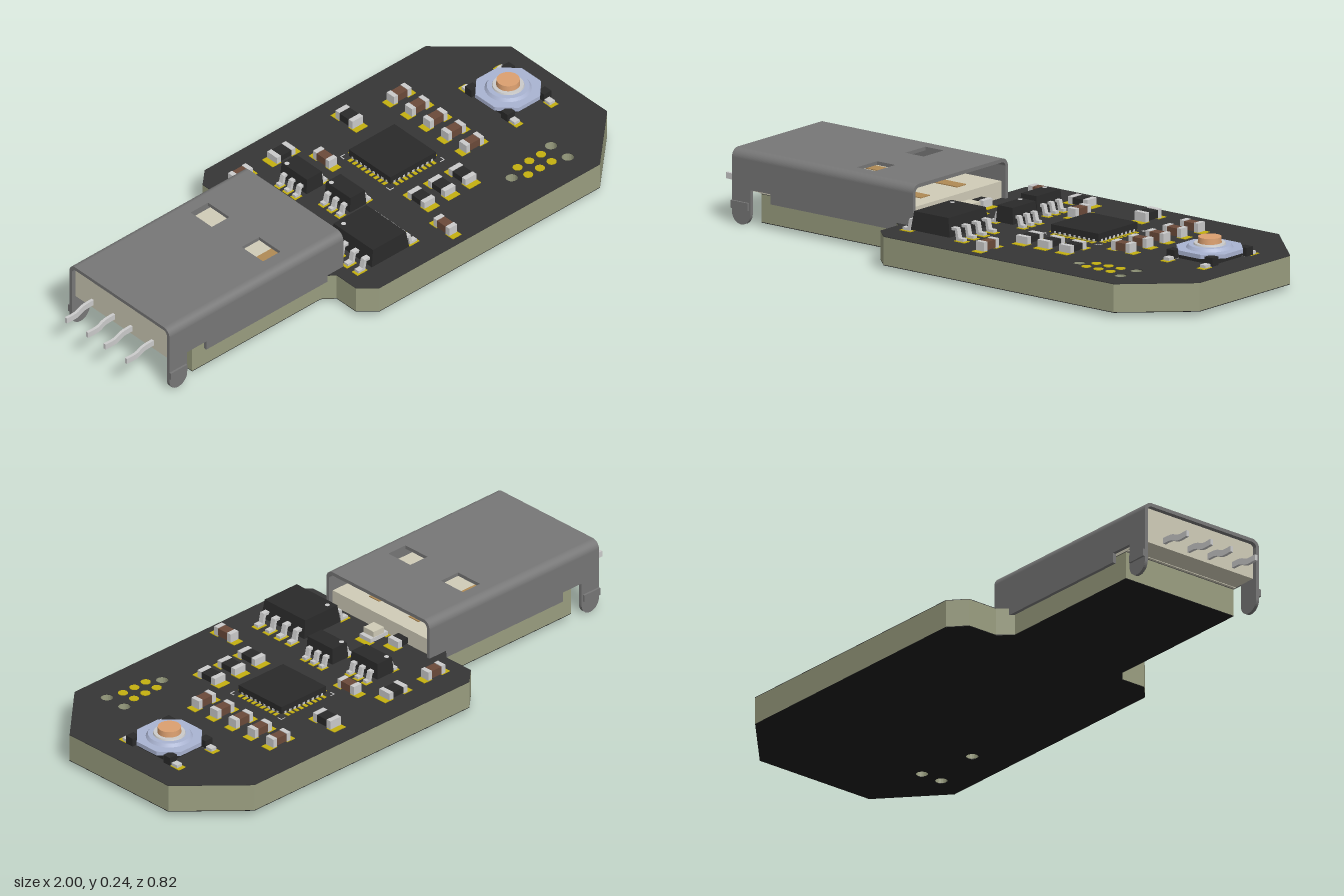
import * as THREE from 'three';

const mat = (color) => new THREE.MeshStandardMaterial({ color });
const M = {
  core: mat(0x9a9e80), mask: mat(0x363636), under: mat(0x1c1c1c), shell: mat(0x777777),
  plastic: mat(0xd0ccb8), gold: mat(0xc4b010), metal: mat(0xcccccc), black: mat(0x2a2a2a),
  brown: mat(0x6b4a3a), blue: mat(0xaab4d2), orange: mat(0xdca070), tan: mat(0xb08a55),
};
const TOP = 0.11, ZC = 0.017; // board surface, connector centre line

function add(parent, name, geo, material, x = 0, y = 0, z = 0) {
  const m = new THREE.Mesh(geo, material);
  m.name = name;
  m.position.set(x, y, z);
  parent.add(m);
  return m;
}
// Box placed by centre x, z and bottom y
const box = (p, name, m, x, y, z, w, h, d) =>
  add(p, name, new THREE.BoxGeometry(w, h, d), m, x, y + h / 2, z);
const poly = (pts) => new THREE.Shape(pts.map(([a, b]) => new THREE.Vector2(a, b)));
const extrude = (shape, depth) =>
  new THREE.ExtrudeGeometry(shape, { depth, bevelEnabled: false, curveSegments: 10 });
// Plan outline (x, -z) raised upwards
const slab = (shape, h) => extrude(shape, h).rotateX(-Math.PI / 2);
function group(parent, name, x = 0, y = 0, z = 0, ry = 0) {
  const g = new THREE.Group();
  g.name = name;
  g.position.set(x, y, z);
  g.rotation.y = ry;
  parent.add(g);
  return g;
}

function buildBoard(root) {
  const s = poly([[-0.79, -0.238], [-0.24, -0.238], [-0.2, -0.27], [-0.2, -0.36], [-0.145, -0.41],
    [0.8, -0.41], [1, -0.225], [1, 0.225], [0.8, 0.41], [-0.145, 0.41],
    [-0.2, 0.36], [-0.2, 0.25], [-0.24, 0.204], [-0.79, 0.204]]);
  for (const [x, z] of [[0.547, 0.273], [0.75, 0.235], [0.75, 0.314]]) {
    const h = new THREE.Path();
    h.absarc(x, -z, 0.02, 0, Math.PI * 2, true);
    s.holes.push(h);
  }
  const g = group(root, 'circuitBoard');
  add(g, 'boardCore', slab(s, 0.091), M.core, 0, 0.017, 0);
  add(g, 'topMask', slab(s, 0.002), M.mask, 0, 0.108, 0);
  add(g, 'bottomMask', slab(s, 0.002), M.under, 0, 0.015, 0);
  // Programming pads
  for (const x of [0.595, 0.645, 0.695]) for (const z of [0.248, 0.298])
    add(g, 'programmingPad', new THREE.CylinderGeometry(0.016, 0.016, 0.002, 20), M.gold, x, TOP + 0.001, z);
}

function buildConnector(root) {
  const g = group(root, 'plug');
  const x0 = -0.9, x1 = -0.155, W = 0.235, H = 0.243, r = 0.028, t = 0.012, L = x1 - x0;
  // Top plate with two latch windows
  const top = poly([[x0, -W + r], [x1, -W + r], [x1, W - r], [x0, W - r]]);
  for (const c of [-0.12, 0.12]) {
    const h = new THREE.Path();
    h.moveTo(-0.44, c - 0.05).lineTo(-0.44, c + 0.05).lineTo(-0.365, c + 0.05).lineTo(-0.365, c - 0.05).closePath();
    top.holes.push(h);
  }
  add(g, 'shellTop', slab(top, t), M.shell, 0, H - t, ZC);
  // Side wall with clearance notch and rounded retention tab
  const side = new THREE.Shape();
  side.moveTo(x0, H - r).lineTo(x0, 0.075).lineTo(-0.9, 0.035);
  side.absarc(-0.862, 0.038, 0.038, Math.PI, Math.PI * 2, false);
  side.lineTo(-0.824, 0.118).lineTo(-0.742, 0.118).lineTo(-0.742, 0.085).lineTo(x1, 0.085).lineTo(x1, H - r).closePath();
  // Rounded shoulder
  const corner = new THREE.Shape();
  corner.absarc(0, 0, r, 0, Math.PI / 2, false);
  corner.absarc(0, 0, r - t, Math.PI / 2, 0, true);
  for (const s of [-1, 1]) {
    add(g, 'shellSide', extrude(side, t), M.shell, 0, 0, ZC + (s > 0 ? W - t : -W));
    const c = add(g, 'shellShoulder', extrude(corner, L), M.shell, s > 0 ? x1 : x0, H - r, ZC + s * (W - r));
    c.rotation.y = -s * Math.PI / 2;
    box(g, 'tabFlare', M.shell, -0.865, 0.05, ZC + s * (W + 0.003), 0.07, 0.025, 0.008);
  }
  // Plastic insert: back wall and tongue
  box(g, 'insertBack', M.plastic, -0.84, 0.112, ZC, 0.09, H - t - 0.113, 2 * (W - t) - 0.002);
  box(g, 'insertTongue', M.plastic, -0.485, 0.11, ZC, 0.63, 0.055, 2 * (W - t) - 0.002);
  // Contacts and bent tail pins
  const pin = new THREE.CatmullRomCurve3([[-0.88, 0.135], [-0.925, 0.133], [-0.955, 0.121], [-1, 0.121]]
    .map(([x, y]) => new THREE.Vector3(x, y, 0)));
  const sect = poly([[-0.005, -0.01], [0.005, -0.01], [0.005, 0.01], [-0.005, 0.01]]);
  for (const z of [-0.125, -0.025, 0.057, 0.157])
    add(g, 'tailPin', new THREE.ExtrudeGeometry(sect, { steps: 14, extrudePath: pin }), M.metal, 0, 0, z);
  for (const s of [-1, 1]) box(g, 'contact', M.tan, -0.45, 0.165, ZC + s * 0.09, 0.45, 0.003, 0.045);
}

// Two-ended chip part on gold pads, long axis along x
function chip(root, name, x, z, turned, len, wid, h, body) {
  const g = group(root, name, x, TOP, z, turned ? Math.PI / 2 : 0);
  box(g, 'body', body, 0, 0.004, 0, len * 0.56, h, wid * 0.96);
  for (const s of [-1, 1]) {
    box(g, 'pad', M.gold, s * len * 0.52, 0, 0, len * 0.46, 0.002, wid * 1.1);
    box(g, 'endCap', M.metal, s * len * 0.39, 0.002, 0, len * 0.22, h + 0.004, wid);
  }
}

// Moulded package with bent leads on the -x and +x sides
function package_(root, name, x, z, w, d, h, leadZ, reach, leadW) {
  const g = group(root, name, x, TOP, z);
  const geo = new THREE.BoxGeometry(w, h, d);
  const p = geo.attributes.position; // moulding draft, widest at mid height
  geo.translate(0, h / 2, 0);
  for (let i = 0; i < p.count; i++)
    if (p.getY(i) > h / 2) { p.setX(i, p.getX(i) * 0.88); p.setZ(i, p.getZ(i) * 0.95); }
  geo.computeVertexNormals();
  add(g, 'body', geo, M.black, 0, 0.012, 0);
  const a = w / 2 - 0.01, m = w / 2 + reach * 0.4, e = w / 2 + reach, y = h * 0.55;
  const lead = poly([[a, y], [m - 0.008, y], [m - 0.002, 0.003], [e, 0.003], [e, 0.012],
    [m + 0.007, 0.012], [m, y + 0.009], [a, y + 0.009]]);
  for (const s of [0, 1]) for (const lz of leadZ) {
    const l = group(g, 'lead', 0, 0, lz, s * Math.PI);
    add(l, 'leadMetal', extrude(lead, leadW), M.metal, 0, 0, -leadW / 2);
    box(l, 'pad', M.gold, (m + e) / 2, 0, 0, reach * 0.95, 0.002, leadW * 1.5);
  }
  add(g, 'pinMark', new THREE.CylinderGeometry(0.008, 0.008, 0.001, 16), M.metal,
    -w * 0.3, h + 0.0125, -d * 0.36);
}

function buildController(root) {
  const g = group(root, 'controllerChip', 0.335, TOP, -0.055);
  box(g, 'body', M.black, 0, 0.004, 0, 0.195, 0.026, 0.195);
  for (let k = 0; k < 4; k++) {
    const side = group(g, 'padRow', 0, 0, 0, k * Math.PI / 2);
    for (let i = -4; i <= 4; i++) {
      box(side, 'pad', M.gold, 0.102, 0, i * 0.02, 0.024, 0.002, 0.011);
      box(side, 'terminal', M.metal, 0.094, 0.002, i * 0.02, 0.009, 0.008, 0.009);
    }
    box(side, 'cornerMark', M.metal, 0.116, 0, 0.108, 0.003, 0.001, 0.018);
    box(side, 'cornerMark', M.metal, 0.108, 0, 0.116, 0.018, 0.001, 0.003);
  }
}

function buildButton(root) {
  const g = group(root, 'pushButton', 0.82, TOP, -0.043);
  const oct = (a, c) => poly([[-a, -a + c], [-a + c, -a], [a - c, -a], [a, -a + c],
    [a, a - c], [a - c, a], [-a + c, a], [-a, a - c]]);
  add(g, 'base', slab(oct(0.082, 0.025), 0.018), M.black, 0, 0.004, 0);
  add(g, 'cover', slab(oct(0.1, 0.055), 0.014), M.blue, 0, 0.021, 0);
  add(g, 'coverRim', new THREE.CylinderGeometry(0.068, 0.075, 0.01, 32), M.blue, 0, 0.04, 0);
  add(g, 'collar', new THREE.CylinderGeometry(0.05, 0.053, 0.008, 32), M.metal, 0, 0.046, 0);
  add(g, 'plunger', new THREE.CylinderGeometry(0.037, 0.039, 0.03, 32), M.orange, 0, 0.054, 0);
  for (const sx of [-1, 1]) for (const sz of [-1, 1]) {
    box(g, 'pad', M.gold, sx * 0.075, 0, sz * 0.117, 0.03, 0.002, 0.04);
    box(g, 'foot', M.metal, sx * 0.075, 0.002, sz * 0.1, 0.022, 0.01, 0.05);
    box(g, 'cornerPost', M.black, sx * 0.078, 0.004, sz * 0.085, 0.032, 0.028, 0.03);
  }
}

export function createModel() {
  const root = new THREE.Group();
  root.name = 'securityKeyBoard';
  buildBoard(root);
  buildConnector(root);
  buildController(root);
  buildButton(root);
  // Small capacitors
  for (let i = 0; i < 5; i++) chip(root, 'capacitor', 0.56, -0.27 + i * 0.085, false, 0.075, 0.034, 0.026, M.brown);
  chip(root, 'capacitor', -0.09, -0.302, false, 0.075, 0.034, 0.026, M.brown);
  chip(root, 'capacitor', 0.165, -0.185, true, 0.075, 0.034, 0.026, M.brown);
  chip(root, 'capacitor', 0.213, 0.327, true, 0.075, 0.034, 0.026, M.brown);
  // Resistors and ferrite bead
  for (const x of [0.255, 0.343, 0.432]) chip(root, 'resistor', x, 0.168, true, 0.08, 0.046, 0.02, M.black);
  chip(root, 'resistor', 0.083, -0.3, false, 0.08, 0.046, 0.02, M.black);
  chip(root, 'ferriteBead', 0.363, -0.288, true, 0.08, 0.046, 0.026, M.black);
  // Indicator light and the pad beside it
  const led = group(root, 'indicatorLight', -0.125, TOP, 0.005);
  box(led, 'lightBase', M.metal, 0, 0.002, 0, 0.075, 0.014, 0.05);
  box(led, 'lens', M.plastic, 0, 0.016, 0, 0.045, 0.02, 0.046);
  for (const s of [-1, 1]) box(led, 'pad', M.gold, s * 0.04, 0, 0, 0.03, 0.002, 0.06);
  chip(root, 'resistor', -0.165, -0.083, false, 0.08, 0.046, 0.02, M.black);
  // Leaded packages
  package_(root, 'memoryChip', -0.022, 0.23, 0.16, 0.195, 0.062, [-0.075, -0.025, 0.025, 0.075], 0.045, 0.018);
  package_(root, 'regulatorChip', 0.035, -0.152, 0.072, 0.125, 0.054, [-0.038, 0, 0.038], 0.032, 0.016);
  package_(root, 'protectionChip', 0.072, 0.013, 0.07, 0.12, 0.054, [-0.038, 0, 0.038], 0.032, 0.016);
  return root;
}
